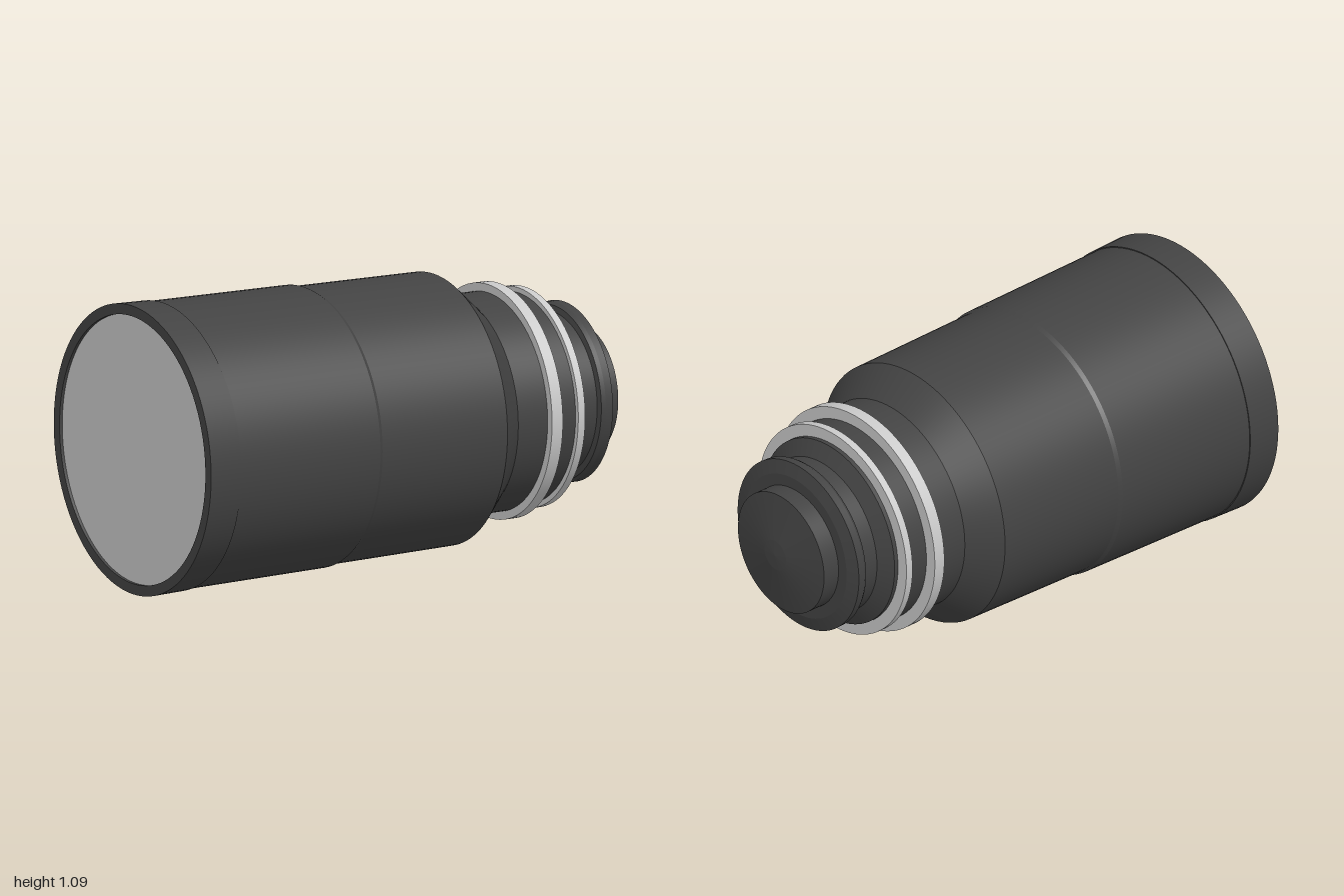
import * as THREE from 'three';
import { mergeGeometries } from 'three/addons/utils/BufferGeometryUtils.js';

const SEGMENTS = 96;
const AXIS_HEIGHT = 0.545;

// Turned part about the x axis from [radius, x] points, with a crisp edge at every point
function turned(name, material, profile) {
  const bands = [];
  for (let i = 0; i < profile.length - 1; i++) {
    const pair = [profile[i], profile[i + 1]].map(([r, x]) => new THREE.Vector2(r, x));
    bands.push(new THREE.LatheGeometry(pair, SEGMENTS));
  }
  const geometry = mergeGeometries(bands);
  geometry.rotateZ(-Math.PI / 2);
  const mesh = new THREE.Mesh(geometry, material);
  mesh.name = name;
  return mesh;
}

// Square-edged collar with open bore
const collar = (r, inner, x0, x1) => [[inner, x0], [r, x0], [r, x1], [inner, x1]];

export function createModel() {
  const dark = new THREE.MeshStandardMaterial({ color: 0x434343 });
  dark.name = 'dark grey';
  const light = new THREE.MeshStandardMaterial({ color: 0xcacaca });
  light.name = 'light grey';

  const group = new THREE.Group();
  group.name = 'barrel';
  group.position.y = AXIS_HEIGHT;

  group.add(
    // Wide end: rim band with a shallow recessed disc
    turned('endRim', dark, [[0.505, -0.988], [0.505, -1], [0.545, -1], [0.541, -0.866], [0.53, -0.866]]),
    turned('endDisc', light, [[0, -0.988], [0.505, -0.988]]),
    // Main tapering barrel, shoulder and neck
    turned('barrelRear', dark, [[0.537, -0.866], [0.527, -0.25], [0.519, -0.235]]),
    turned('barrelFront', dark, [[0.519, -0.235], [0.51, 0.315]]),
    turned('shoulder', dark, [[0.51, 0.315], [0.41, 0.425]]),
    turned('neck', dark, [[0.41, 0.425], [0.41, 0.575], [0.394, 0.575], [0.394, 0.7]]),
    // Bright rings
    turned('largeRing', light, collar(0.441, 0.38, 0.553, 0.6)),
    turned('smallRing', light, collar(0.413, 0.34, 0.685, 0.715)),
    // Narrow stepped end
    turned('collarCone', dark, [[0.366, 0.715], [0.366, 0.732], [0.305, 0.765]]),
    turned('narrowNeck', dark, [[0.305, 0.765], [0.305, 0.835]]),
    turned('flange', dark, [[0.305, 0.835], [0.328, 0.839], [0.337, 0.853], [0.338, 0.883], [0.285, 0.897], [0.238, 0.897]]),
    turned('plug', dark, [[0.24, 0.897], [0.24, 0.968]]),
    turned('plugFace', dark, [[0.24, 0.968], [0.06, 0.996], [0, 1]])
  );

  const model = new THREE.Group();
  model.name = 'model';
  model.add(group);
  return model;
}
